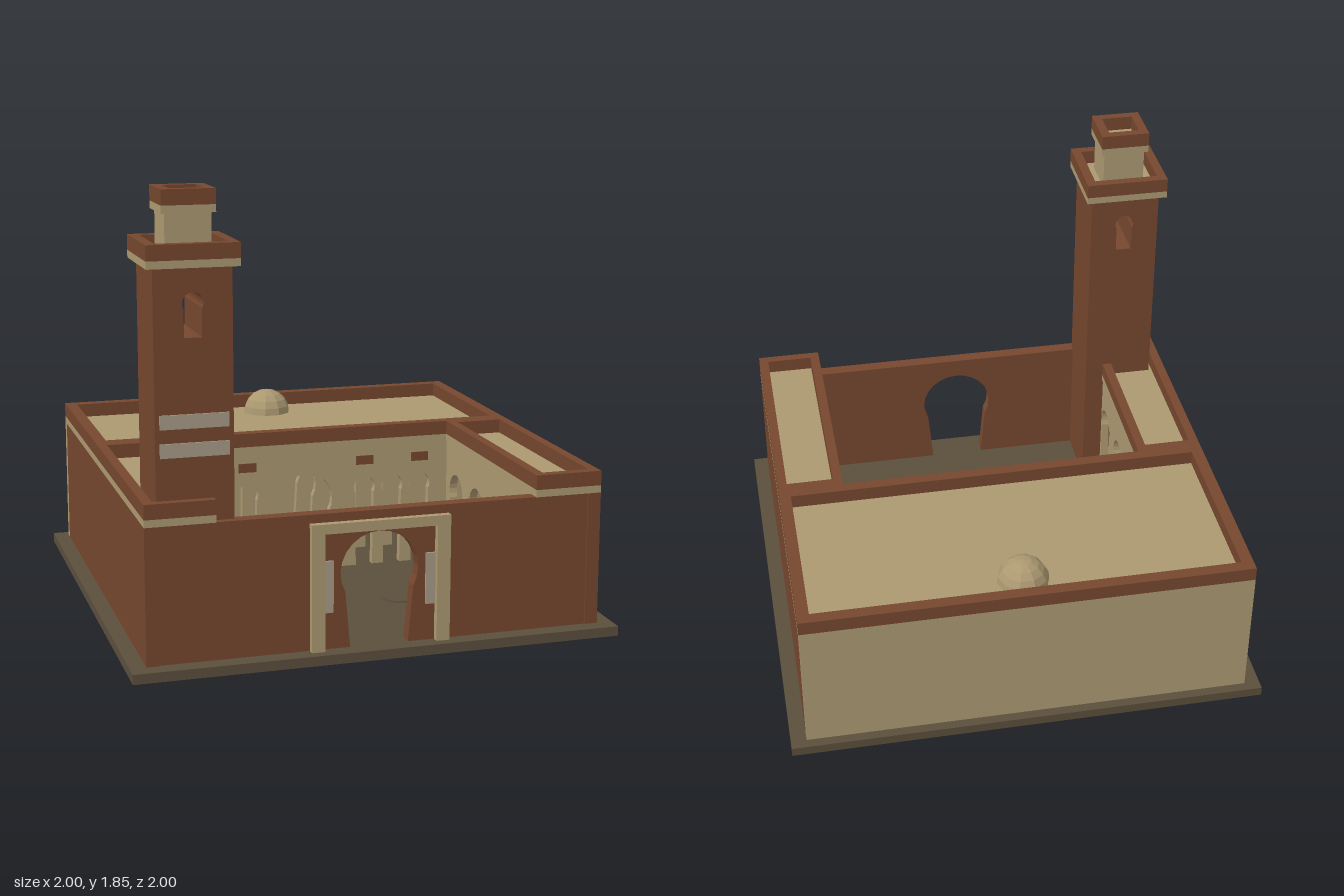
import * as THREE from 'three';

const mat = (name, color) => {
  const m = new THREE.MeshStandardMaterial({ color });
  m.name = name;
  return m;
};

export function createModel() {
  const clay = mat('red clay', 0x76472e);
  const sand = mat('sand plaster', 0xac9971);
  const earth = mat('dark earth', 0x5b4e3c);
  const stone = mat('pale stone', 0xa99d88);
  const model = new THREE.Group();
  model.name = 'courtyardBuilding';

  const add = (name, geometry, material, parent = model) => {
    const mesh = new THREE.Mesh(geometry, material);
    mesh.name = name;
    parent.add(mesh);
    return mesh;
  };

  // Box given by its extents on each axis
  const block = (name, material, [x0, x1], [y0, y1], [z0, z1], parent) => {
    const mesh = add(name, new THREE.BoxGeometry(x1 - x0, y1 - y0, z1 - z0), material, parent);
    mesh.position.set((x0 + x1) / 2, (y0 + y1) / 2, (z0 + z1) / 2);
    return mesh;
  };

  // Horseshoe arch outline: tapered legs under a round head
  const horseshoe = (cx, base, foot, cy, r) => {
    const pts = [new THREE.Vector2(cx - foot, base)];
    const dip = 0.5, n = 16;
    for (let i = 0; i <= n; i++) {
      const a = Math.PI + dip - (i / n) * (Math.PI + 2 * dip);
      pts.push(new THREE.Vector2(cx + r * Math.cos(a), cy + r * Math.sin(a)));
    }
    pts.push(new THREE.Vector2(cx + foot, base));
    return pts;
  };

  const extrude = (shape, depth) =>
    new THREE.ExtrudeGeometry(shape, { depth, bevelEnabled: false, curveSegments: 8 });

  // Wall standing on the ground, cut by arches { x, foot, cy, r }
  const archWall = (x0, x1, y0, y1, depth, arches) => {
    const pts = [new THREE.Vector2(x0, y0)];
    arches.forEach(a => pts.push(...horseshoe(a.x, y0, a.foot, a.cy, a.r)));
    pts.push(new THREE.Vector2(x1, y0), new THREE.Vector2(x1, y1), new THREE.Vector2(x0, y1));
    return extrude(new THREE.Shape(pts), depth);
  };

  // Sand slab with a clay parapet ring on top
  const roof = (name, [x0, x1], [z0, z1], y, slab, height, t, parent = model) => {
    const group = new THREE.Group();
    group.name = name;
    parent.add(group);
    block('roofSlab', sand, [x0, x1], [y, y + slab], [z0, z1], group);
    const rect = (C, d) => new C([
      new THREE.Vector2(x0 + d, -z1 + d), new THREE.Vector2(x1 - d, -z1 + d),
      new THREE.Vector2(x1 - d, -z0 - d), new THREE.Vector2(x0 + d, -z0 - d)]);
    const ring = rect(THREE.Shape, 0);
    ring.holes.push(rect(THREE.Path, t));
    const parapet = add('parapet', extrude(ring, height), clay, group);
    parapet.rotation.x = -Math.PI / 2;
    parapet.position.y = y + slab;
  };

  // Ground
  block('base', earth, [-1, 1], [0, 0.04], [-1, 1]);
  const disc = add('courtyardDisc', new THREE.CylinderGeometry(0.08, 0.08, 0.006, 24), earth);
  disc.position.set(0.27, 0.042, 0.385);

  // Outer walls
  block('backWall', sand, [-0.935, 0.935], [0.04, 0.59], [-0.96, -0.92]);
  for (const s of [-1, 1]) {
    const xs = s < 0 ? [-0.935, -0.88] : [0.88, 0.935];
    block('sideWall', clay, xs, [0.04, 0.59], [-0.92, 0.935]);
  }
  const front = add('frontWall', archWall(-0.88, 0.88, 0.04, 0.59, 0.055,
    [{ x: 0, foot: 0.12, cy: 0.345, r: 0.16 }]), clay);
  front.position.z = 0.875;

  // Entrance surround
  const portal = new THREE.Group();
  portal.name = 'portal';
  model.add(portal);
  for (const s of [-1, 1]) {
    block('portalPost', sand, s < 0 ? [-0.285, -0.23] : [0.23, 0.285], [0.04, 0.515], [0.93, 0.96], portal);
    block('portalPanel', stone, s < 0 ? [-0.235, -0.19] : [0.19, 0.235], [0.19, 0.4], [0.929, 0.938], portal);
  }
  block('portalLintel', sand, [-0.285, 0.285], [0.515, 0.555], [0.93, 0.96], portal);

  // Prayer hall: arcades from the courtyard inwards
  const hallArches = [-0.53, -0.4, -0.27, 0, 0.27, 0.4, 0.53].map(x => x === 0
    ? { x, foot: 0.09, cy: 0.36, r: 0.12 }
    : { x, foot: 0.038, cy: 0.4, r: 0.05 });
  [-0.14, -0.4, -0.66].forEach((z, i) => {
    const w = i ? 0.88 : 0.9;
    const arcade = add('hallArcade', archWall(-w, w, 0.04, 0.59, 0.035, hallArches), sand);
    arcade.position.z = z;
  });
  for (const x of [-0.53, -0.27, 0.27, 0.53])
    block('hallVent', clay, [x - 0.04, x + 0.04], [0.505, 0.545], [-0.106, -0.1]);
  roof('hallRoof', [-0.935, 0.935], [-0.96, -0.1], 0.59, 0.03, 0.06, 0.05);

  // Side galleries
  const wingArches = [0.02, 0.265, 0.51, 0.755].map(x => ({ x, foot: 0.06, cy: 0.375, r: 0.08 }));
  for (const s of [-1, 1]) {
    const arcade = add('galleryArcade', archWall(-0.105, 0.875, 0.04, 0.59, 0.035, wingArches), sand);
    arcade.rotation.y = -Math.PI / 2;
    arcade.position.x = s < 0 ? -0.66 : 0.695;
    roof('galleryRoof', s < 0 ? [-0.935, -0.655] : [0.655, 0.935], [-0.1, 0.935], 0.59, 0.03, 0.06, 0.04);
  }

  // Faceted dome on the hall roof
  const domeGeo = new THREE.SphereGeometry(0.11, 10, 5, 0, Math.PI * 2, 0, Math.PI / 2).toNonIndexed();
  domeGeo.computeVertexNormals();
  add('dome', domeGeo, sand).position.set(0, 0.617, -0.79);

  // Tower with a keyhole opening running front to back
  const tower = new THREE.Group();
  tower.name = 'tower';
  model.add(tower);
  const shaft = new THREE.Shape([
    new THREE.Vector2(-0.88, 0.04), new THREE.Vector2(-0.575, 0.04),
    new THREE.Vector2(-0.575, 1.565), new THREE.Vector2(-0.88, 1.565)]);
  shaft.holes.push(new THREE.Path(horseshoe(-0.728, 1.3, 0.034, 1.43, 0.041)));
  add('towerShaft', extrude(shaft, 0.305), clay, tower).position.z = 0.595;
  for (const y of [0.845, 0.955])
    block('towerBand', stone, [-0.862, -0.593], [y, y + 0.055], [0.899, 0.907], tower);
  roof('towerCap', [-0.908, -0.548], [0.565, 0.925], 1.565, 0.03, 0.06, 0.04, tower);
  block('lantern', sand, [-0.818, -0.638], [1.59, 1.76], [0.655, 0.835], tower);
  roof('lanternCap', [-0.833, -0.623], [0.64, 0.85], 1.76, 0.03, 0.06, 0.038, tower);

  return model;
}
